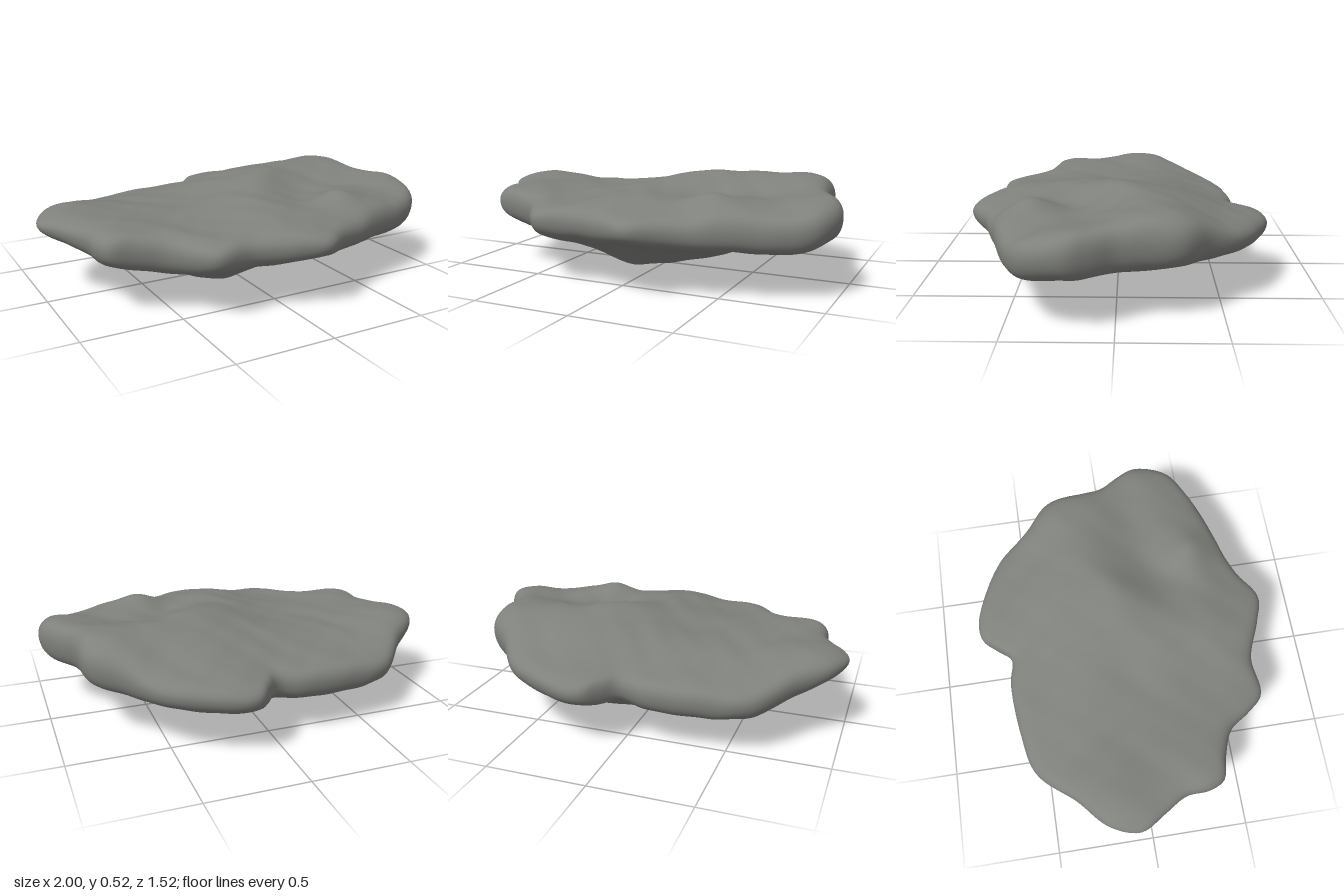
import * as THREE from 'three';

// Rim outline seen from above: x, z
const OUTLINE = [
  [-1, -0.07], [-0.95, -0.22], [-0.8, -0.36], [-0.62, -0.55], [-0.4, -0.605], [-0.13, -0.625],
  [0, -0.605], [0.07, -0.68], [0.13, -0.745], [0.22, -0.76], [0.4, -0.7], [0.57, -0.6],
  [0.7, -0.44], [0.84, -0.3], [0.87, -0.1], [0.89, 0], [0.95, 0.1], [1, 0.22],
  [0.95, 0.4], [0.8, 0.5], [0.5, 0.6], [0.3, 0.67], [0.14, 0.76], [0, 0.725],
  [-0.2, 0.65], [-0.4, 0.66], [-0.48, 0.58], [-0.56, 0.47], [-0.7, 0.41], [-0.81, 0.38],
  [-0.85, 0.3], [-0.86, 0.18], [-0.93, 0.06],
];

// Heights of the upper face: x, z, y
const UPPER = [
  [-0.95, -0.08, 0.42], [-0.85, -0.2, 0.435], [-0.75, 0.3, 0.42], [-0.6, -0.5, 0.35],
  [-0.4, 0.58, 0.385], [-0.3, -0.56, 0.35], [-0.5, 0, 0.415], [-0.2, 0, 0.425],
  [-0.45, 0.3, 0.41], [-0.2, 0.4, 0.415], [-0.4, -0.3, 0.4], [0, -0.3, 0.44], [0, -0.55, 0.37],
  [0.2, -0.7, 0.36], [0.25, -0.45, 0.43], [0.25, -0.03, 0.515], [0.05, 0.25, 0.465],
  [0.18, 0.1, 0.49], [0.35, 0.18, 0.43], [-0.02, 0.45, 0.445], [0.1, 0.7, 0.39],
  [0.48, -0.1, 0.505], [0.7, -0.24, 0.515], [0.55, -0.5, 0.41], [0.5, 0.15, 0.43],
  [0.3, 0.3, 0.425], [0.42, 0.42, 0.48], [0.4, 0.57, 0.41], [0.65, 0.1, 0.45],
  [0.75, 0.43, 0.42], [0.92, 0.2, 0.475], [0.82, -0.08, 0.495],
];

// Heights of the underside with its off-centre keel: x, z, y
const LOWER = [
  [-0.08, -0.03, 0.005], [-0.28, 0, 0.035], [0.1, 0.05, 0.03], [-0.1, 0.2, 0.03],
  [-0.05, -0.2, 0.025], [0.12, -0.2, 0.04], [0.4, -0.05, 0.1], [0.3, -0.18, 0.09],
  [-0.4, 0.05, 0.105], [-0.4, -0.3, 0.16], [-0.1, 0.43, 0.17], [0, -0.4, 0.13],
  [0.18, -0.4, 0.11], [0.2, -0.55, 0.17], [0.38, -0.4, 0.19], [0.25, 0.3, 0.16],
  [0.5, -0.05, 0.185], [0.5, 0.3, 0.2], [0.75, 0.1, 0.225], [0.92, 0.25, 0.24],
  [0.82, 0.44, 0.22], [-0.6, 0, 0.19], [-0.8, 0, 0.25], [-0.93, -0.1, 0.305],
  [-0.6, 0.35, 0.205], [-0.75, 0.32, 0.235], [-0.62, -0.5, 0.19], [-0.4, -0.56, 0.18],
  [-0.78, -0.33, 0.23], [-0.13, -0.58, 0.195], [0.02, -0.56, 0.21], [0.2, -0.71, 0.23],
  [0.5, -0.52, 0.235], [0.75, -0.3, 0.25], [0.1, 0.7, 0.255], [-0.4, 0.6, 0.23],
  [-0.2, 0.6, 0.23], [0.5, 0.55, 0.225], [0.05, 0.56, 0.215],
];

const kernel = (dx, dz) => Math.sqrt(dx * dx + dz * dz + 0.004);

// Smooth sheet through scattered heights (radial basis interpolation)
function sheet(points) {
  const n = points.length;
  const mean = points.reduce((s, p) => s + p[2], 0) / n;
  const rows = points.map(([x, z, h]) =>
    [...points.map(([px, pz]) => kernel(x - px, z - pz)), h - mean]);
  for (let c = 0; c < n; c++) {
    let best = c;
    for (let r = c + 1; r < n; r++) if (Math.abs(rows[r][c]) > Math.abs(rows[best][c])) best = r;
    [rows[c], rows[best]] = [rows[best], rows[c]];
    for (let r = 0; r < n; r++) {
      if (r === c) continue;
      const k = rows[r][c] / rows[c][c];
      for (let q = c; q <= n; q++) rows[r][q] -= k * rows[c][q];
    }
  }
  const weights = rows.map((row, i) => row[n] / row[i]);
  return (x, z) => points.reduce((s, p, i) => s + weights[i] * kernel(x - p[0], z - p[1]), mean);
}

const upperHeight = sheet(UPPER);
const lowerHeight = sheet(LOWER);

// Gentle weathering
function weather(x, z) {
  return 0.003 * Math.sin(11 * x + 4 * z + 2 * Math.sin(7 * z)) +
    0.003 * Math.sin(9 * x - 17 * z + 1.5 * Math.sin(13 * x)) +
    0.002 * Math.sin(31 * x + 1.3) * Math.sin(27 * z);
}

function surfaceHeight(x, z, f, side) {
  const top = upperHeight(x, z) + weather(x, z);
  const bottom = lowerHeight(x, z) + weather(x + 2, z - 1);
  const middle = bottom + (top - bottom) * 0.55;
  const round = Math.sqrt(Math.max(0, 1 - f ** 24)); // rounded rim
  return middle + ((side > 0 ? top : bottom) - middle) * round;
}

function slabGeometry() {
  const around = 200, steps = 40;
  const curve = new THREE.CatmullRomCurve3(
    OUTLINE.map(([x, z]) => new THREE.Vector3(x, 0, z)), true, 'centripetal');
  const rim = curve.getSpacedPoints(around).slice(0, around);
  const pos = [], index = [];

  // Rings run from the keel out to the rim and back in over the top
  const rings = [];
  for (let j = 1; j <= steps; j++) rings.push([j, -1]);
  for (let j = steps - 1; j >= 1; j--) rings.push([j, 1]);
  for (const [j, side] of rings) {
    const f = 1 - (1 - j / steps) ** 1.9;
    for (const p of rim) {
      const x = p.x * f, z = p.z * f;
      pos.push(x, surfaceHeight(x, z, f, side), z);
    }
  }
  for (let j = 0; j < rings.length - 1; j++) {
    for (let i = 0; i < around; i++) {
      const n = (i + 1) % around;
      const a = j * around + i, b = j * around + n;
      const c = a + around, d = b + around;
      index.push(a, c, b, b, c, d);
    }
  }

  // Centre points close both faces
  const low = pos.length / 3, high = low + 1, last = (rings.length - 1) * around;
  pos.push(0, surfaceHeight(0, 0, 0, -1), 0, 0, surfaceHeight(0, 0, 0, 1), 0);
  for (let i = 0; i < around; i++) {
    const n = (i + 1) % around;
    index.push(low, i, n, high, last + n, last + i);
  }

  const geo = new THREE.BufferGeometry();
  geo.setAttribute('position', new THREE.Float32BufferAttribute(pos, 3));
  geo.setIndex(index);
  geo.computeBoundingBox();
  geo.translate(0, -geo.boundingBox.min.y, 0);
  geo.computeVertexNormals();
  return geo;
}

export function createModel() {
  const stone = new THREE.MeshStandardMaterial({ color: 0x7f817c });
  stone.name = 'grey stone';
  const slab = new THREE.Mesh(slabGeometry(), stone);
  slab.name = 'rockSlab';
  const group = new THREE.Group();
  group.name = 'flatRock';
  group.add(slab);
  return group;
}
